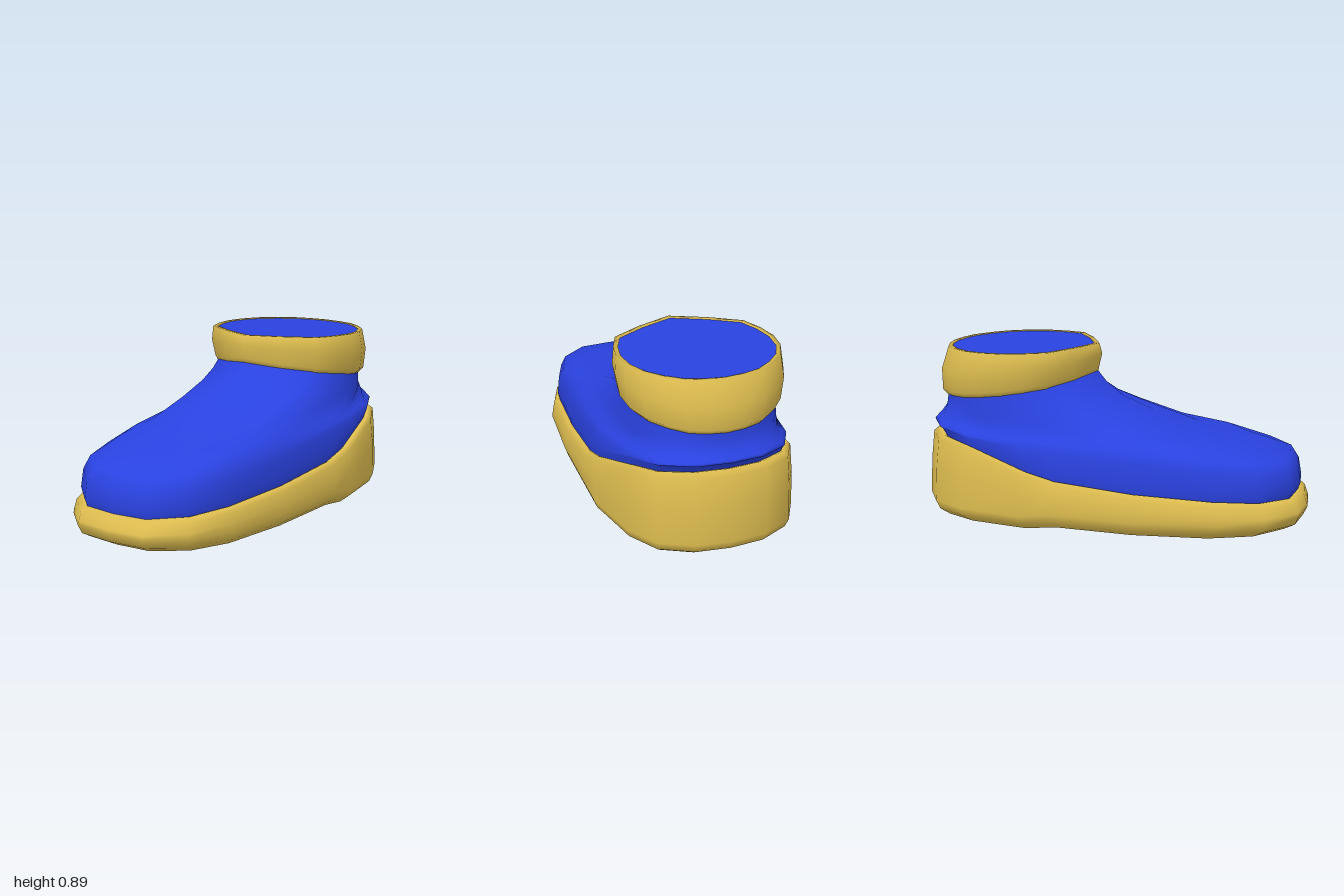
import * as THREE from 'three';

const GOLD = new THREE.MeshStandardMaterial({ color: 0xdfbe50, side: THREE.DoubleSide });
const BLUE = new THREE.MeshStandardMaterial({ color: 0x2a42e0, side: THREE.DoubleSide });

// Half outlines as [width fraction, front-to-back fraction]
const FOOT = [[0, 0], [0.4, 0.01], [0.72, 0.08], [0.88, 0.195], [0.96, 0.4], [1, 0.61],
  [0.99, 0.695], [0.86, 0.86], [0.68, 0.945], [0.36, 0.99], [0, 1]];
const ANKLE = [[0, 0], [0.45, 0.1], [0.84, 0.22], [0.95, 0.36], [1, 0.5], [0.97, 0.64],
  [0.86, 0.77], [0.68, 0.87], [0.47, 0.95], [0.24, 0.985], [0, 1]];
const LAST = FOOT.length - 1;
const SIDES = LAST * 2;

// Piecewise-linear curve through [z, y] pairs sorted by rising z
const curve = (pts) => (z) => {
  if (z <= pts[0][0]) return pts[0][1];
  for (let i = 1; i < pts.length; i++) {
    const [z0, y0] = pts[i - 1], [z1, y1] = pts[i];
    if (z <= z1) return y0 + (y1 - y0) * (z - z0) / (z1 - z0);
  }
  return pts[pts.length - 1][1];
};
const soleTop = curve([[-0.93, 0.44], [-0.7, 0.41], [-0.5, 0.345], [-0.3, 0.285], [-0.1, 0.24],
  [0.1, 0.225], [0.4, 0.21], [0.95, 0.18]]);
const soleBottom = curve([[-0.95, 0.008], [-0.8, 0], [-0.37, 0], [-0.3, 0.024], [-0.2, 0.02],
  [0, 0.005], [0.6, 0.008], [0.95, 0.02]]);

// One closed ring, front to back along +x and returning along -x.
// y is a function of (z, t) or [front height, back height, easing].
function ring(front, back, width, blend, y) {
  const half = FOOT.map(([fx, ft], i) => {
    const t = ft + (ANKLE[i][1] - ft) * blend;
    const z = front + (back - front) * t;
    const h = typeof y === 'function' ? y(z) : y[0] + (y[1] - y[0]) * Math.pow(t, y[2] ?? 1);
    return [width * (fx + (ANKLE[i][0] - fx) * blend), h, z];
  });
  const mirrored = half.slice(1, LAST).reverse().map(([x, h, z]) => [-x, h, z]);
  return [...half, ...mirrored];
}

// Smooth skin over rings listed from bottom to top
function skin(name, material, rings, { bottom = false, top = false } = {}) {
  const points = rings.flat();
  const index = [];
  for (let k = 0; k < rings.length - 1; k++) {
    for (let j = 0; j < SIDES; j++) {
      const a = k * SIDES + j, b = k * SIDES + (j + 1) % SIDES;
      index.push(a, b, b + SIDES, a, b + SIDES, a + SIDES);
    }
  }
  // Caps are strips running from side to side, with their own corners
  const cap = (source, up) => {
    const base = points.length;
    points.push(...source);
    for (let i = 0; i < LAST; i++) {
      const r0 = base + i, r1 = base + i + 1;
      const l0 = base + (SIDES - i) % SIDES, l1 = base + SIDES - i - 1;
      for (const tri of [[l0, r0, r1], [l0, r1, l1]]) {
        if (new Set(tri).size === 3) index.push(...(up ? tri : tri.reverse()));
      }
    }
  };
  if (bottom) cap(rings[0], false);
  if (top) cap(rings[rings.length - 1], true);
  const geometry = new THREE.BufferGeometry();
  geometry.setAttribute('position', new THREE.Float32BufferAttribute(points.flat(), 3));
  geometry.setIndex(index);
  geometry.computeVertexNormals();
  const mesh = new THREE.Mesh(geometry, material);
  mesh.name = name;
  return mesh;
}

export function createModel() {
  const boot = new THREE.Group();
  boot.name = 'boot';

  // Thick sole with rounded lower edge and raised heel
  boot.add(skin('sole', GOLD, [
    ring(0.92, -0.93, 0.445, 0, soleBottom),
    ring(0.98, -0.98, 0.48, 0, (z) => soleBottom(z) + 0.03),
    ring(1, -1, 0.498, 0, (z) => soleBottom(z) + 0.075),
    ring(0.995, -0.99, 0.495, 0, (z) => soleTop(z) * 0.62),
    ring(0.98, -0.975, 0.486, 0, (z) => soleTop(z) - 0.025),
    ring(0.95, -0.945, 0.466, 0, soleTop),
    ring(0.9, -0.89, 0.43, 0, (z) => soleTop(z) - 0.015),
  ], { bottom: true }));

  // Upper, sweeping from the sole line over the instep to the ankle
  boot.add(skin('upper', BLUE, [
    ring(0.94, -0.92, 0.45, 0, (z) => soleTop(z) - 0.02),
    ring(0.96, -0.955, 0.464, 0, (z) => soleTop(z) + 0.035),
    ring(0.945, -0.97, 0.458, 0, [0.3, 0.48]),
    ring(0.905, -0.965, 0.437, 0, [0.365, 0.49]),
    ring(0.68, -0.955, 0.42, 0.1, [0.43, 0.5]),
    ring(0.44, -0.94, 0.405, 0.25, [0.47, 0.515]),
    ring(0.2, -0.93, 0.392, 0.45, [0.55, 0.53]),
    ring(0.03, -0.92, 0.385, 0.7, [0.62, 0.545]),
    ring(-0.06, -0.912, 0.375, 0.9, [0.69, 0.58, 0.8]),
    ring(-0.11, -0.91, 0.367, 1, [0.75, 0.63, 0.7]),
  ]));

  // Padded collar with a narrow rim
  boot.add(skin('collar', GOLD, [
    ring(-0.13, -0.89, 0.35, 1, [0.74, 0.61, 0.7]),
    ring(-0.105, -0.915, 0.368, 1, [0.74, 0.61, 0.7]),
    ring(-0.1, -0.936, 0.392, 1, [0.765, 0.635, 0.7]),
    ring(-0.083, -0.937, 0.409, 1, [0.835, 0.75, 0.8]),
    ring(-0.098, -0.895, 0.4, 1, [0.888, 0.872]),
    ring(-0.122, -0.875, 0.378, 1, [0.888, 0.872]),
    ring(-0.125, -0.872, 0.375, 1, [0.87, 0.855]),
  ]));

  // Flat lining closing the ankle opening
  boot.add(skin('lining', BLUE, [ring(-0.122, -0.875, 0.378, 1, [0.884, 0.868])], { top: true }));

  return boot;
}
